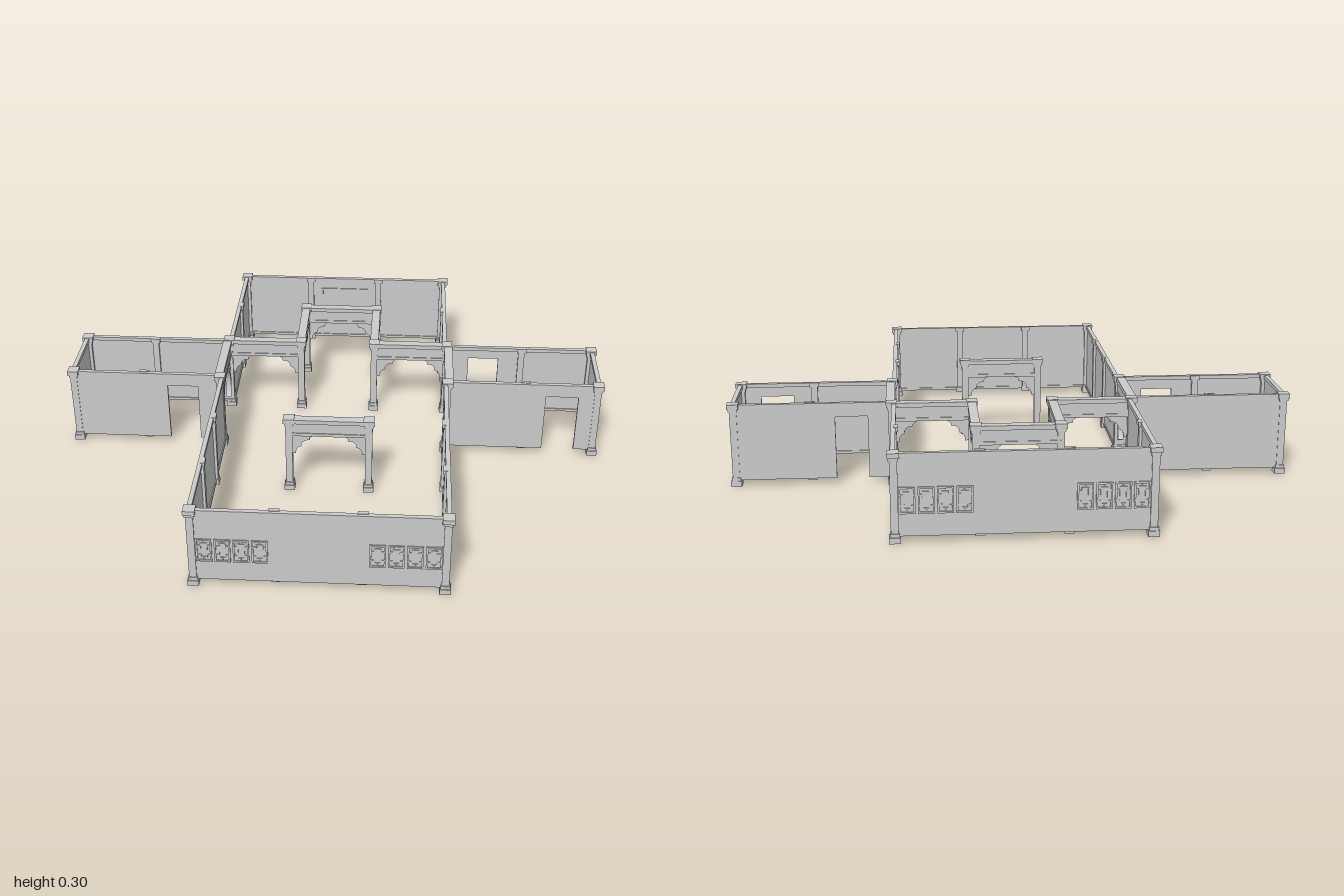
import * as THREE from 'three';

const mat = new THREE.MeshStandardMaterial({ color: 0xcccccc, flatShading: true, side: THREE.DoubleSide });
const TOP = 0.3, LOW = 0.022, T = 0.01;

function add(parent, name, geo) {
  const m = new THREE.Mesh(geo, mat);
  m.name = name;
  parent.add(m);
  return m;
}

// box from its limits
function box(parent, name, x0, x1, y0, y1, z0, z1) {
  const m = add(parent, name, new THREE.BoxGeometry(x1 - x0, y1 - y0, z1 - z0));
  m.position.set((x0 + x1) / 2, (y0 + y1) / 2, (z0 + z1) / 2);
  return m;
}

// group whose local x runs from a to b, local z is the horizontal normal
function run(parent, name, ax, az, bx, bz) {
  const g = new THREE.Group();
  g.name = name;
  g.position.set((ax + bx) / 2, 0, (az + bz) / 2);
  g.rotation.y = -Math.atan2(bz - az, bx - ax);
  parent.add(g);
  return { g, h: Math.hypot(bx - ax, bz - az) / 2 };
}

// thin wall with its outer face on the line a-b and its inside at local +z
function wall(parent, name, ax, az, bx, bz, { door, posts = [] } = {}) {
  const { g, h } = run(parent, name, ax, az, bx, bz);
  const s = new THREE.Shape();
  s.moveTo(-h, LOW);
  if (door) {
    s.lineTo(door[0], LOW);
    s.lineTo(door[0], 0.25);
    s.lineTo(door[1], 0.25);
    s.lineTo(door[1], LOW);
  }
  s.lineTo(h, LOW);
  s.lineTo(h, TOP);
  s.lineTo(-h, TOP);
  add(g, 'wallPanel', new THREE.ExtrudeGeometry(s, { depth: T, bevelEnabled: false }));
  box(g, 'topRail', -h, h, TOP - 0.014, TOP, T, 0.016);
  const cuts = door ? [[-h, door[0]], [door[1], h]] : [[-h, h]];
  for (const [a, b] of cuts) box(g, 'bottomRail', a, b, LOW, LOW + 0.01, T, 0.014);
  for (const p of posts) {
    box(g, 'wallPost', p - 0.012, p + 0.012, LOW, TOP, T, 0.02);
    box(g, 'wallPostCap', p - 0.018, p + 0.018, TOP - 0.014, TOP + 0.002, T, 0.024);
    box(g, 'wallPostBase', p - 0.016, p + 0.016, 0.012, LOW + 0.012, T, 0.023);
  }
  return g;
}

// rectangular frame centred on (x, y), facing -z
function frame(parent, name, x, y, w, h, t, z0, z1) {
  for (const s of [-1, 1]) {
    const cx = x + s * (w - t) / 2, cy = y + s * (h - t) / 2;
    box(parent, name, cx - t / 2, cx + t / 2, y - h / 2, y + h / 2, z0, z1);
    box(parent, name, x - w / 2, x + w / 2, cy - t / 2, cy + t / 2, z0, z1);
  }
}

// row of four lattice windows on the outside of a wall
function windows(g, cx) {
  for (let i = 0; i < 4; i++) {
    const x = cx + (i - 1.5) * 0.061;
    frame(g, 'windowFrame', x, 0.143, 0.053, 0.09, 0.006, -0.004, 0);
    frame(g, 'windowLattice', x, 0.143, 0.025, 0.06, 0.004, -0.003, 0);
    for (const s of [-1, 1]) {
      box(g, 'latticeBar', x - 0.002, x + 0.002, 0.141 + s * 0.035, 0.145 + s * 0.035, -0.003, 0);
      for (const y of [0.125, 0.161])
        box(g, 'latticeBar', x + s * 0.0165 - 0.004, x + s * 0.0165 + 0.004, y - 0.002, y + 0.002, -0.003, 0);
    }
  }
}

// square column with stepped foot and capital
function column(parent, name, x, z) {
  const g = new THREE.Group();
  g.name = name;
  g.position.set(x, 0, z);
  parent.add(g);
  const steps = [['foot', 0.019, 0, 0.02], ['base', 0.016, 0.02, 0.032], ['shaft', 0.0125, 0.032, 0.275],
    ['neck', 0.016, 0.275, 0.286], ['capital', 0.02, 0.286, 0.303]];
  for (const [n, r, y0, y1] of steps) box(g, n, -r, r, y0, y1, -r, r);
}

// moulded beam
function beam(g, h) {
  box(g, 'beamTop', -h, h, 0.284, TOP, -0.016, 0.016);
  box(g, 'beamFrieze', -h, h, 0.244, 0.284, -0.01, 0.01);
  box(g, 'beamMoulding', -h, h, 0.232, 0.244, -0.013, 0.013);
}

// beam with scalloped brackets below both ends
function bracketSpan(parent, ax, az, bx, bz) {
  const { g, h } = run(parent, 'bracketSpan', ax, az, bx, bz);
  beam(g, h);
  for (const s of [-1, 1]) {
    const e = h - 0.012, P = (d) => s * (e - d);
    const b = new THREE.Shape();
    b.moveTo(P(0), 0.234);
    b.lineTo(P(0), 0.155);
    b.lineTo(P(0.012), 0.155);
    b.quadraticCurveTo(P(0.012), 0.182, P(0.032), 0.185);
    b.lineTo(P(0.032), 0.194);
    b.quadraticCurveTo(P(0.038), 0.212, P(0.062), 0.212);
    b.lineTo(P(0.062), 0.22);
    b.quadraticCurveTo(P(0.07), 0.23, P(0.09), 0.234);
    const m = add(g, 'bracket', new THREE.ExtrudeGeometry(b, { depth: 0.012, bevelEnabled: false, curveSegments: 6 }));
    m.position.z = -0.006;
  }
}

// beam over a round arch with filled spandrels
function roundArch(parent, ax, az, bx, bz) {
  const { g, h } = run(parent, 'roundArch', ax, az, bx, bz);
  beam(g, h);
  const R = 0.108, cy = 0.12, a = 0.55;
  const s = new THREE.Shape();
  s.moveTo(-h, 0.234);
  s.lineTo(-h, cy - 0.05);
  s.lineTo(-R * Math.cos(a), cy - R * Math.sin(a));
  s.absarc(0, cy, R, Math.PI + a, -a, true);
  s.lineTo(h, cy - 0.05);
  s.lineTo(h, 0.234);
  const m = add(g, 'spandrel', new THREE.ExtrudeGeometry(s, { depth: 0.01, bevelEnabled: false, curveSegments: 24 }));
  m.position.z = -0.005;
  const r = new THREE.Shape();
  r.absarc(0, cy, R + 0.004, -a, Math.PI + a, false);
  r.absarc(0, cy, R - 0.008, Math.PI + a, -a, true);
  const ring = add(g, 'archRing', new THREE.ExtrudeGeometry(r, { depth: 0.02, bevelEnabled: false, curveSegments: 24 }));
  ring.position.z = -0.01;
}

export function createModel() {
  const root = new THREE.Group();
  root.name = 'courtyardHouse';
  const X = 0.425, Z = 0.848, E = 0.99, WB = -0.282, WF = 0.002;

  // hall end walls
  const back = wall(root, 'backWall', -X, -Z, X, -Z, { posts: [-0.143, 0.143] });
  const front = wall(root, 'frontWall', X, Z, -X, Z, { posts: [-0.143, 0.143] });
  for (const g of [back, front]) for (const s of [-1, 1]) windows(g, s * 0.283);
  frame(back, 'doorFrame', 0, 0.137, 0.2, 0.23, 0.008, T, 0.014);

  for (const s of [-1, 1]) {
    // hall side walls, given in an order that keeps the inside at local +z
    const side = (name, z0, z1, posts) => {
      const mid = (z0 + z1) / 2;
      const local = posts.map((z) => s * (z - mid));
      if (s > 0) wall(root, name, X, z0, X, z1, { posts: local });
      else wall(root, name, -X, z1, -X, z0, { posts: local });
    };
    side('rearSideWall', -Z, -0.285, [-0.57]);
    side('frontSideWall', 0, Z, [0.28, 0.565]);

    // wing walls
    const c = s * (X + E) / 2, lo = c - (E - X) / 2, hi = c + (E - X) / 2;
    const post = s * 0.713 - c;
    wall(root, 'wingBackWall', lo, WB, hi, WB,
      { posts: [post], door: s > 0 ? [0.51 - c, 0.625 - c] : undefined });
    const fd = s > 0 ? [0.79, 0.91] : [-0.625, -0.51];
    wall(root, 'wingFrontWall', hi, WF, lo, WF, { posts: [-post], door: [c - fd[1], c - fd[0]] });
    const end = s > 0 ? wall(root, 'wingEndWall', E, WB, E, WF) : wall(root, 'wingEndWall', -E, WF, -E, WB);
    windows(end, 0);

    // corner columns
    for (const z of [-0.84, 0.84]) column(root, 'hallCorner', s * 0.415, z);
    for (const z of [-0.285, 0]) column(root, 'wingJunction', s * 0.425, z);
    for (const z of [-0.272, -0.008]) column(root, 'wingCorner', s * 0.98, z);

    // inner colonnade
    for (const z of [-0.285, -0.572, 0.28]) column(root, 'innerColumn', s * 0.143, z);
    bracketSpan(root, s * 0.425, -0.285, s * 0.143, -0.285);
    bracketSpan(root, s * 0.143, -0.285, s * 0.143, -0.572);
    roundArch(root, s * 0.43, -0.285, s * 0.43, 0);
  }
  bracketSpan(root, -0.143, -0.572, 0.143, -0.572);
  bracketSpan(root, -0.143, 0.28, 0.143, 0.28);
  return root;
}
